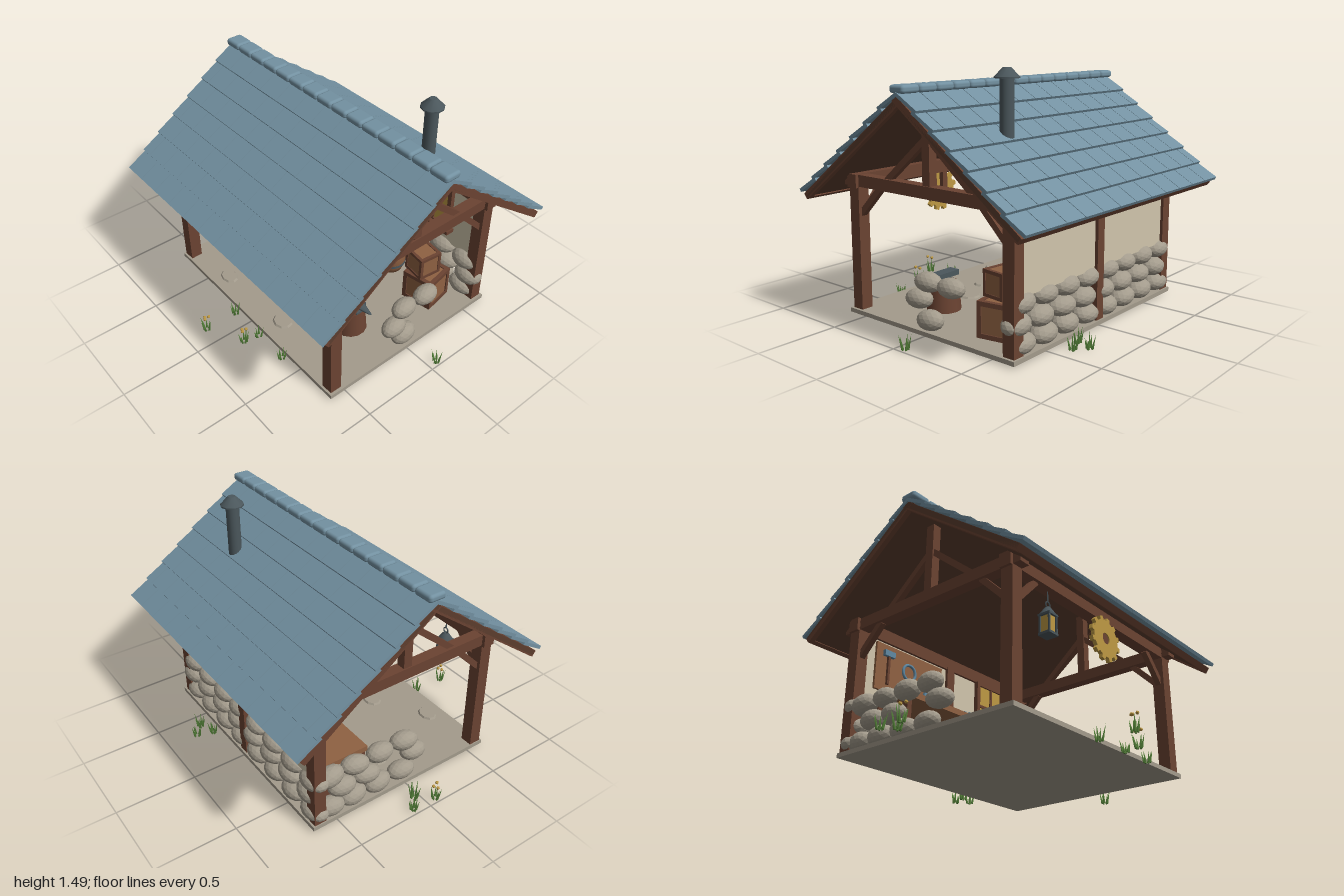
import * as THREE from 'three';
import { RoundedBoxGeometry } from 'three/addons/geometries/RoundedBoxGeometry.js';

const mat = (name, color, extra = {}) => Object.assign(new THREE.MeshStandardMaterial({ color, ...extra }), { name });

export function createModel() {
  const tile = mat('slate blue', 0x7391a1), wood = mat('dark timber', 0x6b4332);
  const deckWood = mat('roof boards', 0x5c3d2e), plank = mat('light wood', 0x8f6142);
  const stone = mat('stone', 0xa39b8c, { flatShading: true }), plaster = mat('plaster', 0xd0c5ac);
  const iron = mat('iron', 0x4b575c), brass = mat('brass', 0xbd9944);
  const steel = mat('steel', 0x6089a3), grass = mat('grass', 0x55823a, { side: THREE.DoubleSide });

  const model = new THREE.Group();
  let seed = 7;
  const rand = () => (seed = (seed * 16807) % 2147483647) / 2147483647;
  const group = (name, parent = model) => {
    const g = new THREE.Group();
    g.name = name;
    parent.add(g);
    return g;
  };
  const add = (name, geo, m, x, y, z, parent = model) => {
    const mesh = new THREE.Mesh(geo, m);
    mesh.name = name;
    mesh.position.set(x, y, z);
    parent.add(mesh);
    return mesh;
  };
  const box = (name, m, w, h, d, x, y, z, parent) => add(name, new THREE.BoxGeometry(w, h, d), m, x, y, z, parent);
  const cyl = (name, m, r1, r2, h, x, y, z, parent, n = 16) =>
    add(name, new THREE.CylinderGeometry(r1, r2, h, n), m, x, y, z, parent);
  // Square timber between two points
  const beam = (name, a, b, t, parent) => {
    const p = new THREE.Vector3(...a), q = new THREE.Vector3(...b);
    const mesh = box(name, wood, t, t, p.distanceTo(q), 0, 0, 0, parent);
    mesh.position.copy(p).add(q).multiplyScalar(0.5);
    mesh.lookAt(q);
    return mesh;
  };

  // Floor slab and paving stones
  box('floorSlab', stone, 1.57, 0.026, 1.275, 0.005, 0.023, -0.028);
  for (const [x, z] of [[-0.39, 0.5], [-0.53, -0.03], [-0.06, 0.3], [-0.01, 0.13], [0.175, 0.2], [0.155, 0.47]])
    cyl('pavingStone', stone, 0.06, 0.07, 0.012, x, 0.041, z, model, 9).scale.z = 0.75 + rand() * 0.25;

  // Timber frame
  const frame = group('timberFrame');
  const F = 0.558, B = -0.615, M = -0.03;
  for (const s of [-1, 1]) {
    const x = s * 0.735;
    for (const z of [F, B]) box('post', wood, 0.076, 0.8, 0.076, x, 0.435, z, frame);
    box('tieBeam', wood, 0.07, 0.07, 1.35, x, 0.818, M, frame);
    box('kingPost', wood, 0.055, 0.43, 0.055, x, 1.065, M, frame);
    for (const d of [-1, 1]) {
      beam('strut', [x, 1.1, M + d * 0.02], [x, 0.83, M + d * 0.345], 0.036, frame);
      beam('sideBrace', [x, 0.62, M + d * 0.56], [x, 0.79, M + d * 0.39], 0.036, frame);
    }
    for (const z of [F, B]) beam('longBrace', [s * 0.71, 0.61, z], [s * 0.55, 0.78, z], 0.036, frame);
  }
  for (const z of [F, B]) box('wallPlate', wood, 1.58, 0.08, 0.075, 0, 0.816, z, frame);
  box('middlePost', wood, 0.064, 0.76, 0.08, 0.003, 0.415, B, frame);

  // Back wall and window
  box('plasterWall', plaster, 1.42, 0.47, 0.04, 0, 0.575, B);
  const win = group('window');
  win.position.set(0.388, 0.62, -0.585);
  box('pane', brass, 0.24, 0.3, 0.009, 0, 0, 0.008, win);
  for (const s of [-1, 1]) {
    box('jamb', wood, 0.028, 0.31, 0.03, s * 0.128, 0, 0.01, win);
    box('rail', wood, 0.28, 0.026, 0.03, 0, s * 0.145, 0.01, win);
  }
  box('mullion', wood, 0.018, 0.29, 0.022, 0, 0, 0.01, win);
  box('crossBar', wood, 0.24, 0.018, 0.022, 0, -0.01, 0.01, win);
  box('sill', wood, 0.325, 0.024, 0.06, 0, -0.155, 0.025, win);

  // Rubble stone walls
  const walls = group('stoneWalls');
  const pebble = new THREE.IcosahedronGeometry(1, 2);
  const rock = (x, y, z, rx, rz) => {
    const m = add('stone', pebble, stone, x, y, z, walls);
    m.scale.set(rx, 0.056 + rand() * 0.006, rz);
    m.rotation.set(rand() * 0.2 - 0.1, rand() * 0.3 - 0.15, rand() * 0.16 - 0.08);
  };
  const levels = [0.085, 0.195, 0.305];
  levels.forEach((y, r) => {
    for (let i = 0; i < 8; i++) rock(-0.7 + i * 0.195 + (r % 2 ? 0.035 : 0), y, B + 0.01, 0.096, 0.073);
  });
  const sideRows = { '-1': [[-0.01, -0.185, -0.36, -0.52], [0.075, -0.27, -0.44], [0, -0.175, -0.35, -0.52]], 1: [[-0.01], [0.075], [0, -0.175]] };
  for (const s of [-1, 1])
    sideRows[s].forEach((row, r) => row.forEach(z => rock(s * 0.73, levels[r], z, 0.06, 0.09)));

  // Roof: boards, overlapping tiles, ridge caps
  const roof = group('roof');
  roof.position.set(0.005, 1.36, M);
  const tileGeo = w => new THREE.BoxGeometry(w - 0.004, 0.02, 0.17);
  const whole = tileGeo(0.16), half = tileGeo(0.08);
  for (const s of [0, Math.PI]) {
    const side = group('roofSide', roof);
    side.rotation.y = s;
    const slope = group('slope', side);
    slope.rotation.x = 0.637;
    box('roofBoards', deckWood, 1.9, 0.03, 1.03, 0, -0.03, 0.505, slope);
    for (const x of [-0.935, 0.935]) box('bargeBoard', wood, 0.03, 0.042, 1.03, x, -0.034, 0.506, slope);
    box('eaveBoard', wood, 1.9, 0.038, 0.025, 0, -0.033, 1.015, slope);
    for (let r = 0; r < 7; r++) {
      const z = 1.04 - r * 0.1455 - 0.085, odd = r % 2;
      for (let i = 0; i < 12 + odd; i++) {
        const end = odd && (i === 0 || i === 12);
        const x = !odd ? -0.88 + i * 0.16 : i === 0 ? -0.92 : i === 12 ? 0.92 : -0.96 + i * 0.16;
        add('roofTile', end ? half : whole, tile, x, 0.006, z, slope).rotation.x = -0.11;
      }
    }
  }
  const cap = new RoundedBoxGeometry(0.125, 0.045, 0.108, 2, 0.018);
  for (let i = 0; i < 15; i++) add('ridgeCap', cap, tile, -0.896 + i * 0.128, 0.022, 0, roof);

  // Chimney
  cyl('chimneyPipe', iron, 0.04, 0.04, 0.34, 0.482, 1.265, -0.362);
  cyl('chimneyRim', iron, 0.07, 0.07, 0.008, 0.482, 1.433, -0.362, model, 10);
  cyl('chimneyCap', iron, 0.022, 0.07, 0.05, 0.482, 1.461, -0.362, model, 10);

  // Gear wheel on the front beam
  const gearGeo = (R, depth) => {
    const shape = new THREE.Shape(), n = 12;
    for (let i = 0; i < n; i++)
      [[0, 0.84], [0.28, 0.84], [0.36, 1], [0.74, 1], [0.82, 0.84]].forEach(([f, k], j) => {
        const a = ((i + f) / n) * Math.PI * 2;
        shape[i + j ? 'lineTo' : 'moveTo'](Math.cos(a) * R * k, Math.sin(a) * R * k);
      });
    shape.holes.push(new THREE.Path().absarc(0, 0, R * 0.25, 0, Math.PI * 2, true));
    return new THREE.ExtrudeGeometry(shape, { depth, bevelEnabled: false });
  };
  add('gearWheel', gearGeo(0.137, 0.024), brass, 0.003, 0.638, 0.61);
  cyl('gearAxle', wood, 0.035, 0.035, 0.03, 0.003, 0.638, 0.612).rotation.x = Math.PI / 2;
  box('gearHanger', wood, 0.04, 0.17, 0.03, 0.003, 0.7, 0.59);

  // Hanging lantern
  const lantern = group('lantern');
  lantern.position.set(-0.435, 0, F);
  box('glass', brass, 0.052, 0.1, 0.052, 0, 0.575, 0, lantern);
  box('base', iron, 0.078, 0.014, 0.078, 0, 0.519, 0, lantern);
  box('lid', iron, 0.078, 0.012, 0.078, 0, 0.631, 0, lantern);
  for (const x of [-1, 1]) for (const z of [-1, 1]) box('bar', iron, 0.01, 0.11, 0.01, x * 0.031, 0.575, z * 0.031, lantern);
  cyl('hood', iron, 0.016, 0.05, 0.045, 0, 0.658, 0, lantern, 4).rotation.y = Math.PI / 4;
  add('handle', new THREE.TorusGeometry(0.018, 0.004, 6, 16), iron, 0, 0.695, 0, lantern);
  cyl('hook', iron, 0.004, 0.004, 0.08, 0, 0.75, 0, lantern, 6);

  // Tool board
  const board = group('toolBoard');
  board.position.set(0, 0, -0.578);
  box('panel', plank, 0.545, 0.3, 0.016, -0.362, 0.605, 0, board);
  box('hammerHandle', wood, 0.016, 0.18, 0.016, -0.545, 0.59, 0.016, board);
  box('hammerHead', steel, 0.08, 0.036, 0.024, -0.545, 0.695, 0.018, board);
  add('ring', new THREE.TorusGeometry(0.05, 0.009, 8, 24), steel, -0.375, 0.628, 0.016, board);
  box('chisel', steel, 0.02, 0.2, 0.014, -0.22, 0.597, 0.016, board).rotation.z = -0.2;

  // Workbench with tools
  const bench = group('workbench');
  box('benchTop', plank, 0.72, 0.035, 0.29, -0.32, 0.322, -0.37, bench);
  for (const x of [-0.655, 0.005]) {
    for (const z of [-0.25, -0.49]) box('leg', wood, 0.032, 0.275, 0.032, x, 0.17, z, bench);
    box('sideRail', wood, 0.026, 0.026, 0.24, x, 0.118, -0.37, bench);
  }
  for (const z of [-0.25, -0.49]) box('stretcher', wood, 0.66, 0.026, 0.026, -0.325, 0.118, z, bench);
  box('vise', steel, 0.07, 0.05, 0.06, -0.068, 0.365, -0.33, bench);
  add('smallGear', gearGeo(0.06, 0.014), brass, -0.31, 0.34, -0.36, bench).rotation.x = -Math.PI / 2;
  box('file', steel, 0.018, 0.014, 0.2, -0.47, 0.348, -0.34, bench).rotation.y = 0.5;
  box('bar', brass, 0.12, 0.012, 0.02, -0.38, 0.346, -0.27, bench);
  box('tongs', steel, 0.016, 0.012, 0.14, -0.18, 0.347, -0.31, bench).rotation.y = -0.3;

  // Barrel with iron hoops
  const barrel = group('barrel');
  barrel.position.set(0.205, 0.037, -0.4);
  const radius = t => 0.08 + 0.024 * Math.sin(Math.PI * t);
  const staves = [[0, 0], ...[0, 0.15, 0.3, 0.5, 0.7, 0.85, 1].map(t => [radius(t), t * 0.245])];
  const pts = a => a.map(p => new THREE.Vector2(...p));
  add('staves', new THREE.LatheGeometry(pts(staves), 18), plank, 0, 0, 0, barrel);
  cyl('barrelLid', plank, 0.081, 0.081, 0.004, 0, 0.244, 0, barrel, 18);
  for (const t of [0.24, 0.76]) cyl('hoop', iron, radius(t) + 0.004, radius(t) + 0.004, 0.018, 0, t * 0.245, 0, barrel, 18);

  // Chopping stump and anvil
  cyl('stump', wood, 0.09, 0.104, 0.17, 0.443, 0.12, 0.165, model, 14);
  const anvil = group('anvil');
  anvil.position.set(0.46, 0.205, 0.155);
  box('foot', iron, 0.14, 0.014, 0.075, 0, 0.007, 0, anvil);
  box('waist', iron, 0.09, 0.025, 0.045, 0, 0.022, 0, anvil);
  box('face', iron, 0.17, 0.032, 0.07, -0.015, 0.048, 0, anvil);
  const horn = cyl('horn', iron, 0.006, 0.03, 0.085, 0.112, 0.05, 0, anvil, 10);
  horn.rotation.z = -Math.PI / 2;
  horn.scale.x = 0.5;

  // Crates
  const crate = (s, x, y, z, turn) => {
    const g = group('crate'), t = s * 0.13, h = s / 2 - t / 2;
    g.position.set(x, y + s / 2, z);
    g.rotation.y = turn;
    box('boards', plank, s * 0.94, s * 0.94, s * 0.94, 0, 0, 0, g);
    for (const a of [-h, h]) for (const b of [-h, h]) {
      box('upright', wood, t, s, t, a, 0, b, g);
      box('frontSlat', wood, s - 2 * t, t, t, 0, a, b, g);
      box('sideSlat', wood, t, t, s - 2 * t, a, b, 0, g);
    }
  };
  crate(0.21, 0.545, 0.037, -0.385, 0.18);
  crate(0.155, 0.522, 0.25, -0.365, -0.12);

  // Grass tufts, some with seed heads
  const blade = new THREE.ConeGeometry(0.008, 1, 3).translate(0, 0.5, 0);
  const tuft = (x, z, flower, h = 0.1) => {
    const g = group('grassTuft');
    g.position.set(x, 0, z);
    for (let i = 0; i < 7; i++) {
      const a = i * 0.9 + rand();
      const m = add('blade', blade, grass, Math.cos(a) * 0.016, 0, Math.sin(a) * 0.016, g);
      m.scale.y = h * (0.6 + rand() * 0.4);
      m.rotation.set(Math.sin(a) * 0.22, 0, -Math.cos(a) * 0.22);
    }
    if (flower) for (const [dx, dz] of [[-0.014, 0], [0.012, 0.014], [0.004, -0.018]])
      add('seedHead', new THREE.IcosahedronGeometry(0.011, 0), brass, dx, h + dx * 0.5, dz, g);
  };
  [[-0.97, 0.06, true], [-0.965, -0.1, false], [-0.9, -0.04, false, 0.13], [-0.12, 0.855, true], [0.11, 0.735, true],
    [-0.12, 0.64, false], [0.13, 0.64, false, 0.08], [0.36, 0.635, false, 0.08], [0.97, -0.06, false, 0.09],
    [0.3, -0.71, false], [0.4, -0.75, false], [0.33, -0.81, false]].forEach(a => tuft(...a));

  return model;
}
